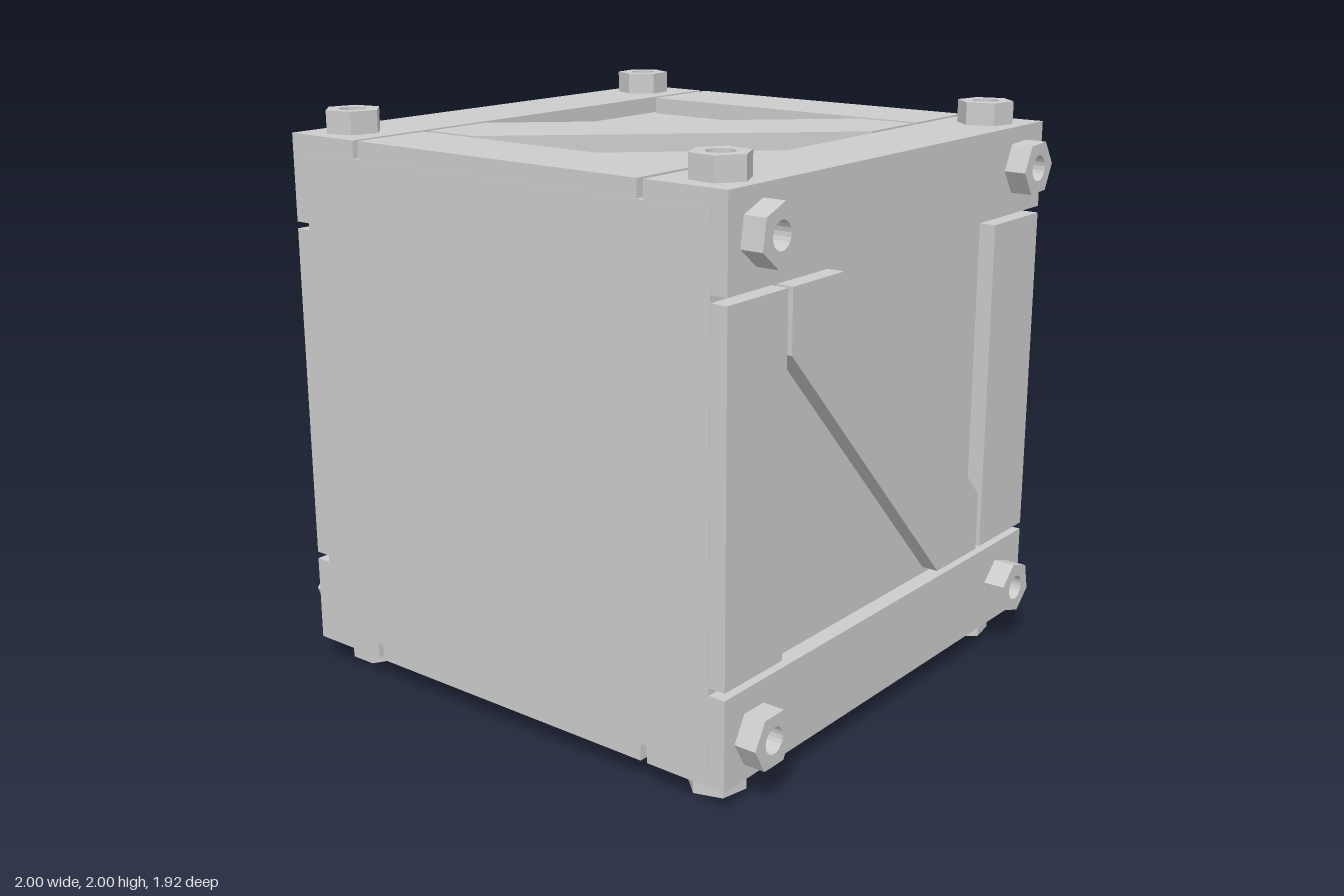
import * as THREE from 'three';

const DEPTH = 0.06; // how far the panels sit below the beams

// Six-sided nut with a round hole
function nutGeometry() {
  const hex = new THREE.Shape();
  for (let i = 0; i < 6; i++) {
    const a = (i * Math.PI) / 3;
    hex[i ? 'lineTo' : 'moveTo'](0.098 * Math.cos(a), 0.098 * Math.sin(a));
  }
  hex.closePath();
  const hole = new THREE.Path();
  hole.absarc(0, 0, 0.045, 0, Math.PI * 2, true);
  hex.holes.push(hole);
  return new THREE.ExtrudeGeometry(hex, { depth: 0.078, bevelEnabled: false, curveSegments: 10 });
}

// Diagonal board with squared-off ends that fit two corners of an opening
function braceGeometry([u0, u1], [v0, v1], a, b, rising) {
  if (!rising) [v0, v1, b] = [v1, v0, -b];
  const points = [[u0, v0], [u0 + a, v0], [u1, v1 - b], [u1, v1], [u1 - a, v1], [u0, v0 + b]];
  const shape = new THREE.Shape(points.map(([x, y]) => new THREE.Vector2(x, y)));
  return new THREE.ExtrudeGeometry(shape, { depth: DEPTH + 0.01, bevelEnabled: false });
}

export function createModel() {
  const crate = new THREE.Group();
  crate.name = 'crate';
  const grey = new THREE.MeshStandardMaterial({ color: 0xcccccc });
  grey.name = 'grey';

  function add(parent, name, geometry) {
    const mesh = new THREE.Mesh(geometry, grey);
    mesh.name = name;
    parent.add(mesh);
    return mesh;
  }
  // Box given by its two ends on each axis
  function box(name, [x0, x1], [y0, y1], [z0, z1]) {
    add(crate, name, new THREE.BoxGeometry(x1 - x0, y1 - y0, z1 - z0))
      .position.set((x0 + x1) / 2, (y0 + y1) / 2, (z0 + z1) / 2);
  }

  // Core: recessed panels on five sides, flush at the front
  box('core', [-0.86, 0.86], [0.14, 1.86], [-0.825, 0.96]);

  // Edge beams, separated by narrow gaps
  const sides = [[-0.92, -0.617], [0.617, 0.92]];
  const levels = [[0.08, 0.385], [1.617, 1.92]];
  const ends = [[-0.885, -0.573], [0.665, 0.959]];
  for (const x of sides) for (const y of levels) box('longBeam', x, y, [-0.885, 0.959]);
  for (const x of sides) for (const z of ends) box('uprightBeam', x, [0.41, 1.593], z);
  for (const y of levels) for (const z of ends) box('crossBeam', [-0.592, 0.592], y, z);

  // Braces and nuts, laid out on each face as seen from outside
  const even = [-0.78, 0.78], forward = [-0.81, 0.72], backward = [-0.72, 0.81];
  const width = [-0.592, 0.592], open = [-0.64, 0.545], openBack = [-0.545, 0.64];
  const h = Math.PI / 2;
  const faces = [
    { name: 'rightFace', at: [0.92, 1, 0], turn: [0, h, 0], u: open, v: width, nu: forward, nv: even, a: 0.27, b: 0.21 },
    { name: 'leftFace', at: [-0.92, 1, 0], turn: [0, -h, 0], u: openBack, v: width, nu: backward, nv: even, a: 0.27, b: 0.21 },
    { name: 'backFace', at: [0, 1, -0.885], turn: [0, Math.PI, 0], u: width, v: width, nu: even, nv: even, a: 0.24, b: 0.24, rising: true },
    { name: 'topFace', at: [0, 1.92, 0], turn: [-h, 0, 0], u: width, v: open, nu: even, nv: forward, a: 0.21, b: 0.265, rising: true },
    { name: 'bottomFace', at: [0, 0.08, 0], turn: [h, 0, 0], u: width, v: openBack, nu: even, nv: backward, a: 0.21, b: 0.265, rising: true },
  ];
  const nut = nutGeometry();
  let count = 0;
  for (const f of faces) {
    const face = new THREE.Group();
    face.name = f.name;
    face.position.set(...f.at);
    face.rotation.set(...f.turn);
    crate.add(face);
    add(face, 'brace', braceGeometry(f.u, f.v, f.a, f.b, f.rising)).position.z = -DEPTH - 0.01;
    for (const u of f.nu) for (const v of f.nv) {
      const mesh = add(face, 'nut', nut);
      mesh.position.set(u, v, 0);
      mesh.rotation.z = (count++ * 0.37) % 1.05; // each nut is turned differently
    }
  }
  return crate;
}
